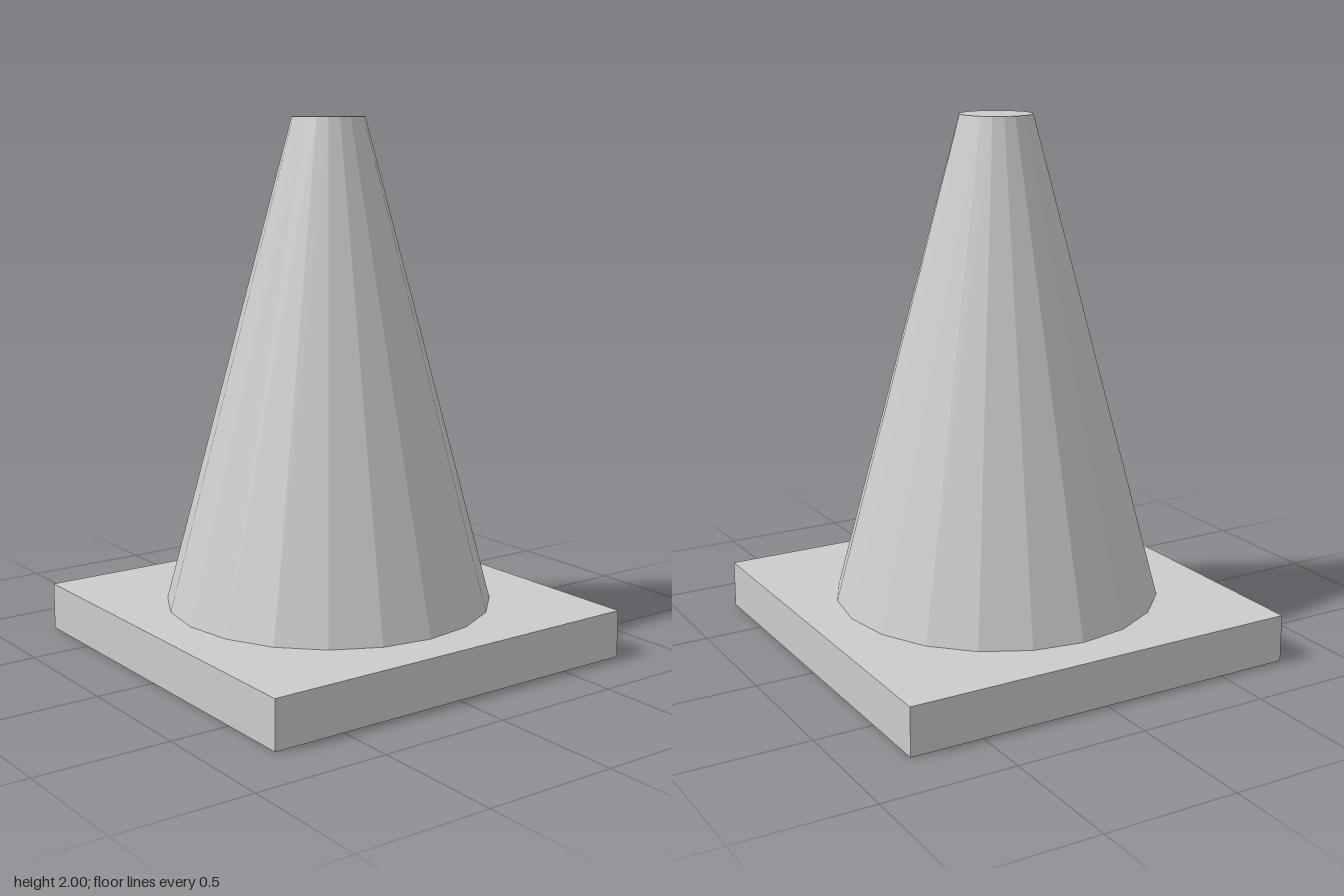
import * as THREE from 'three';

export function createModel() {
  const model = new THREE.Group();
  model.name = 'trafficCone';

  const grey = new THREE.MeshStandardMaterial({ color: 0xcccccc, flatShading: true });
  grey.name = 'lightGrey';

  const baseHeight = 0.18;
  const totalHeight = 2;
  const coneHeight = totalHeight - baseHeight;

  // Square foot plate
  const base = new THREE.Mesh(new THREE.BoxGeometry(1.55, baseHeight, 1.55), grey);
  base.name = 'base';
  base.position.y = baseHeight / 2;
  model.add(base);

  // Twenty-sided tapered body with a flat closed top
  const cone = new THREE.Mesh(new THREE.CylinderGeometry(0.135, 0.617, coneHeight, 20), grey);
  cone.name = 'coneBody';
  cone.position.y = baseHeight + coneHeight / 2;
  model.add(cone);

  return model;
}
